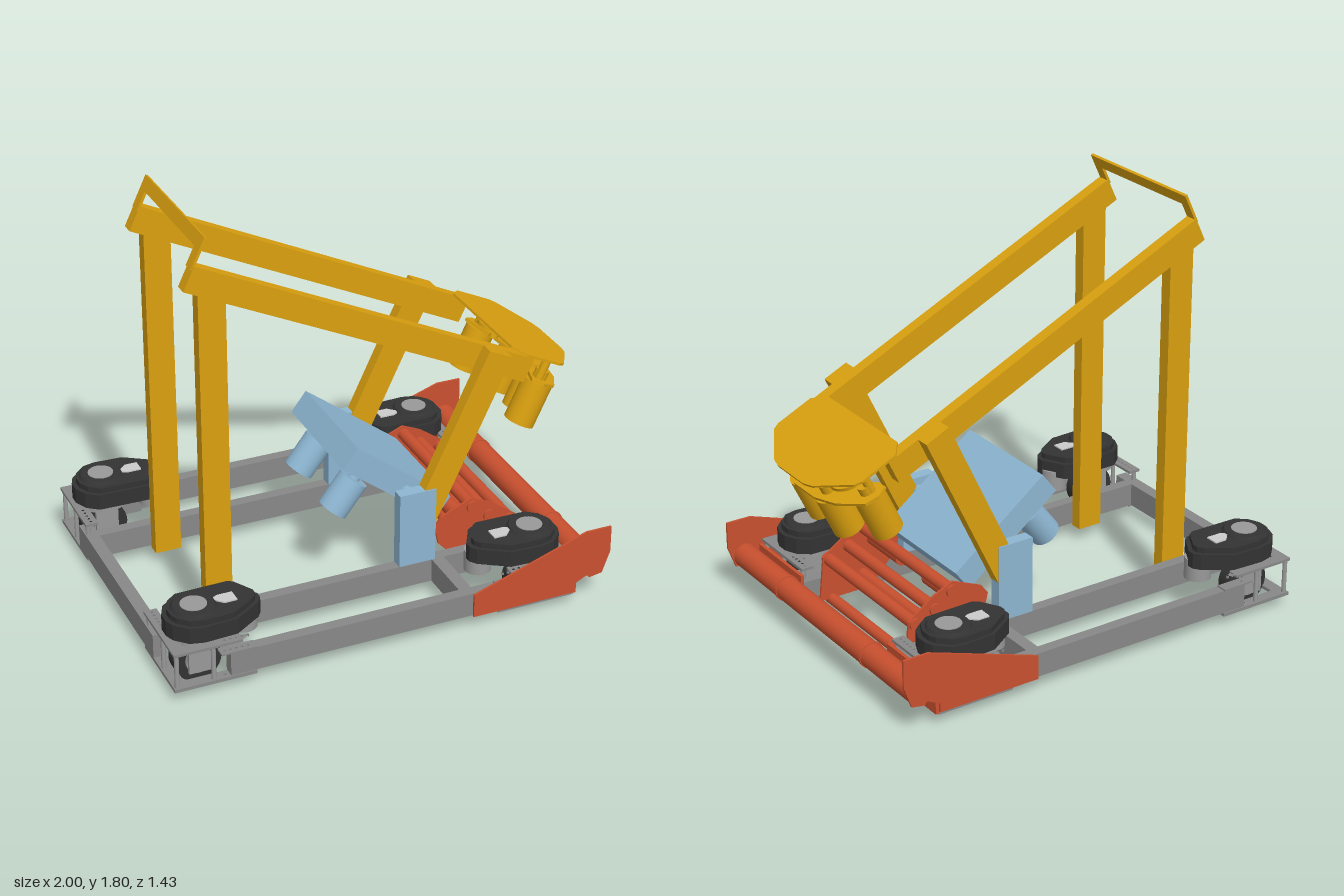
import * as THREE from 'three';

const mat = (color) => new THREE.MeshStandardMaterial({ color });
const YELLOW = mat(0xd9a00f), RED = mat(0xc9502f), BLUE = mat(0x8db6d2);
const FRAME = mat(0x888888), BLACK = mat(0x333333), STEEL = mat(0x999999), LIGHT = mat(0xcccccc);

function add(parent, name, geometry, material) {
  const mesh = new THREE.Mesh(geometry, material);
  mesh.name = name;
  parent.add(mesh);
  return mesh;
}

// box given by its minimum and maximum on each axis (in any order)
function box(parent, name, material, [x0, x1], [y0, y1], [z0, z1]) {
  const g = new THREE.BoxGeometry(Math.abs(x1 - x0), Math.abs(y1 - y0), Math.abs(z1 - z0));
  g.translate((x0 + x1) / 2, (y0 + y1) / 2, (z0 + z1) / 2);
  return add(parent, name, g, material);
}

// upright cylinder between two heights
function post(parent, name, material, x, z, r, y0, y1, rTop = r, sides = 28) {
  const g = new THREE.CylinderGeometry(rTop, r, y1 - y0, sides);
  g.translate(x, (y0 + y1) / 2, z);
  return add(parent, name, g, material);
}

// cylinder lying along z
function roller(parent, name, material, x, y, r, z0, z1) {
  const g = new THREE.CylinderGeometry(r, r, Math.abs(z1 - z0), 28).rotateX(Math.PI / 2);
  g.translate(x, y, (z0 + z1) / 2);
  return add(parent, name, g, material);
}

// horizontal plate from [x, z] corners, with optional round holes [x, z, r]
function slab(parent, name, material, pts, y0, y1, holes = []) {
  const shape = new THREE.Shape(pts.map(([x, z]) => new THREE.Vector2(x, -z)));
  for (const [x, z, r] of holes) {
    const hole = new THREE.Path();
    hole.absarc(x, -z, r, 0, Math.PI * 2, true);
    shape.holes.push(hole);
  }
  const g = new THREE.ExtrudeGeometry(shape, { depth: y1 - y0, bevelEnabled: false, curveSegments: 4 });
  g.rotateX(-Math.PI / 2).translate(0, y0, 0);
  return add(parent, name, g, material);
}

// upright plate from [x, y] corners
function panel(parent, name, material, pts, z0, z1) {
  const shape = new THREE.Shape(pts.map(([x, y]) => new THREE.Vector2(x, y)));
  const g = new THREE.ExtrudeGeometry(shape, { depth: z1 - z0, bevelEnabled: false });
  g.translate(0, 0, z0);
  return add(parent, name, g, material);
}

function group(parent, name) {
  const g = new THREE.Group();
  g.name = name;
  parent.add(g);
  return g;
}

// steerable corner wheel; s points inward along x, t is the side in z
function driveModule(parent, s, t) {
  const m = group(parent, 'driveModule');
  const X = (a) => -0.115 - s * 0.745 + s * a, Z = (b) => t * (0.56 - b);
  const at = (pts, k = 1) => pts.map(([a, b]) => [X(0.07 + (a - 0.07) * k), Z(b * k)]);

  // drilled corner brackets, below and above the wheel
  const corner = (reach) => at([[-0.14, -0.145], [reach, -0.145], [reach, -0.095], [-0.085, -0.095], [-0.085, 0.2], [-0.14, 0.2]]);
  const holes = [];
  for (let i = 0; i < 5; i++) {
    holes.push([X(0.08 + i * 0.025), Z(-0.12), 0.006], [X(-0.112), Z(0.08 + i * 0.025), 0.006]);
  }
  slab(m, 'lowerBracket', FRAME, corner(0.21), 0.045, 0.06, holes);
  slab(m, 'rail bracket', FRAME, at([[0.06, -0.145], [0.21, -0.145], [0.21, -0.095], [0.06, -0.095]]), 0.165, 0.172, holes.filter((h, i) => i % 2 === 0));
  slab(m, 'upperBracket', FRAME, corner(0.15), 0.21, 0.222, holes);
  for (const [a, b] of [[-0.125, -0.13], [0.03, -0.13], [-0.125, 0.02], [-0.125, 0.18]]) {
    post(m, 'bracketPost', STEEL, X(a), Z(b), 0.01, 0.05, 0.215, 0.01, 12);
  }

  // wheel in its fork under the turntable
  roller(m, 'wheel', BLACK, X(0), 0.1, 0.1, Z(-0.035), Z(0.035));
  roller(m, 'wheelHub', STEEL, X(0), 0.1, 0.055, Z(-0.05), Z(0.05));
  for (const b of [-0.06, 0.06]) box(m, 'forkSide', STEEL, [X(-0.05), X(0.05)], [0.06, 0.215], [Z(b - 0.008), Z(b + 0.008)]);
  post(m, 'turntable', STEEL, X(0), Z(0), 0.11, 0.205, 0.235);
  post(m, 'driveMotor', STEEL, X(0.22), Z(0.03), 0.058, 0.165, 0.26);

  // black gearbox cover, stepped in towards the top
  const outline = [[-0.125, 0.03], [-0.1, 0.085], [-0.05, 0.125], [0.2, 0.13], [0.225, 0.115], [0.28, 0.02],
    [0.28, -0.01], [0.26, -0.04], [0.14, -0.118], [0, -0.125], [-0.06, -0.11], [-0.11, -0.06], [-0.125, -0.02]];
  slab(m, 'coverBase', BLACK, at(outline), 0.235, 0.305);
  slab(m, 'coverTop', BLACK, at(outline, 0.9), 0.305, 0.33);
  post(m, 'coverDome', BLACK, X(0), Z(0), 0.095, 0.33, 0.342, 0.085);
  post(m, 'motorCap', STEEL, X(0), Z(0), 0.055, 0.342, 0.345);
  slab(m, 'coverWindow', LIGHT, at([[0.09, 0.0], [0.12, -0.03], [0.175, -0.03], [0.175, 0.03], [0.11, 0.03], [0.09, 0.02]]), 0.33, 0.336);
}

export function createModel() {
  const model = new THREE.Group();
  model.name = 'wheeledRobot';

  // chassis rails and corner wheels
  const chassis = group(model, 'chassis');
  const RAIL = [0.06, 0.165];
  box(chassis, 'rearBeam', FRAME, [-1, -0.945], RAIL, [-0.46, 0.46]);
  for (const t of [-1, 1]) {
    box(chassis, 'innerRail', FRAME, [-0.945, 0.77], RAIL, [t * 0.345, t * 0.395]);
    box(chassis, 'outerRail', FRAME, [-0.76, 0.53], RAIL, [t * 0.65, t * 0.7]);
    box(chassis, 'crossRail', FRAME, [0.265, 0.32], RAIL, [t * 0.395, t * 0.65]);
    box(chassis, 'frontBeam', FRAME, [0.72, 0.768], RAIL, [t * 0.395, t * 0.46]);
    for (const s of [-1, 1]) driveModule(chassis, s, t);
  }

  // tall posts
  for (const t of [-1, 1]) box(model, 'tallPost', YELLOW, [-0.72, -0.605], [0.06, 1.6], [t * 0.275, t * 0.33]);

  // sloping arm, built along its own top edge
  const arm = group(model, 'slopingArm');
  arm.position.set(-0.73, 1.685, 0);
  arm.rotation.z = -0.445;
  for (const t of [-1, 1]) {
    box(arm, 'armBeam', YELLOW, [0, 1.64], [-0.11, 0], [t * 0.275, t * 0.33]);
    box(arm, 'armStrut', YELLOW, [1.375, 1.49], [-0.785, 0], [t * 0.335, t * 0.391]);
    box(arm, 'strutJoint', YELLOW, [1.375, 1.49], [-0.11, 0], [t * 0.33, t * 0.336]);
    box(arm, 'rearBracketSide', YELLOW, [-0.006, 0.006], [-0.02, 0.07], [t * 0.275, t * 0.325]);
  }
  box(arm, 'rearBracketTop', YELLOW, [-0.006, 0.006], [0.065, 0.12], [-0.325, 0.325]);

  // shooter head: top plate, pulleys, lower plate and four motors
  slab(arm, 'headTopPlate', YELLOW, [[1.55, -0.27], [1.6, -0.33], [1.77, -0.33], [1.8, -0.315], [1.905, -0.15], [1.917, -0.1],
    [1.917, 0.1], [1.905, 0.15], [1.8, 0.315], [1.77, 0.33], [1.6, 0.33], [1.55, 0.27]], 0, 0.01);
  slab(arm, 'headLowerPlate', YELLOW, [[1.69, -0.31], [1.74, -0.335], [1.8, -0.32], [1.87, -0.2], [1.9, -0.08], [1.9, 0.08],
    [1.87, 0.2], [1.8, 0.32], [1.74, 0.335], [1.69, 0.31], [1.75, 0.15], [1.77, 0], [1.75, -0.15]], -0.105, -0.092);
  for (const t of [-1, 1]) {
    for (const [u, z] of [[1.752, 0.265], [1.838, 0.098]]) {
      post(arm, 'headMotor', YELLOW, u, t * z, 0.066, -0.3, -0.105);
      post(arm, 'motorPulley', YELLOW, u, t * z, 0.03, -0.092, -0.055);
    }
    post(arm, 'pulleyShaft', YELLOW, 1.75, t * 0.15, 0.02, -0.1, 0);
    post(arm, 'largePulley', YELLOW, 1.75, t * 0.15, 0.09, -0.065, -0.05);
    post(arm, 'smallPulley', YELLOW, 1.75, t * 0.15, 0.055, -0.035, -0.022);
    post(arm, 'sideShaft', YELLOW, 1.74, t * 0.28, 0.018, -0.1, 0);
  }

  // tilted feeder box on its pivot
  const feeder = group(model, 'feeder');
  feeder.position.set(-0.02, 0.7, 0);
  feeder.rotation.z = -0.655;
  box(feeder, 'feederBox', BLUE, [0, 0.54], [-0.11, 0], [-0.272, 0.272]);
  for (const t of [-1, 1]) {
    post(feeder, 'feederMotor', BLUE, 0.135, t * 0.18, 0.066, -0.3, -0.14);
    post(feeder, 'feederShaft', BLUE, 0.135, t * 0.18, 0.025, -0.14, -0.1);
    box(model, 'pivotPost', BLUE, [0.115, 0.28], [0.165, 0.505], [t * 0.342, t * 0.396]);
  }
  roller(model, 'feederPivot', BLUE, 0.2, 0.445, 0.027, -0.345, 0.345);

  // front intake: side plates, bumper, tube and rollers
  const intake = group(model, 'intake');
  for (const t of [-1, 1]) {
    const zo = t * 0.71, zi = t * 0.339;
    panel(intake, 'outerPlate', RED, [[0.305, 0.06], [0.305, 0.165], [0.82, 0.34], [0.935, 0.34], [0.935, 0.22],
      [0.9, 0.125], [0.84, 0.115], [0.83, 0.13], [0.77, 0.1], [0.77, 0.06]], zo - 0.005, zo + 0.005);
    panel(intake, 'innerPlate', RED, [[0.32, 0.2], [0.3, 0.285], [0.33, 0.325], [0.47, 0.385], [0.56, 0.345],
      [0.68, 0.26], [0.7, 0.06], [0.45, 0.06]], zi - 0.005, zi + 0.005);
    box(intake, 'bumperPanel', RED, [0.77, 0.785], [0.05, 0.2], [t * 0.345, t * 0.705]);
    roller(intake, 'tubeCollar', RED, 0.855, 0.168, 0.057, t * 0.335, t * 0.345);
    roller(intake, 'shortRoller', RED, 0.43, 0.29, 0.035, t * 0.1, t * 0.335);
  }
  roller(intake, 'frontTube', RED, 0.855, 0.168, 0.053, -0.705, 0.705);
  for (const [x, y, r] of [[0.475, 0.345, 0.027], [0.555, 0.285, 0.027], [0.65, 0.245, 0.027], [0.64, 0.055, 0.025], [0.49, 0.13, 0.027]]) {
    roller(intake, 'intakeRoller', RED, x, y, r, -0.355, 0.355);
  }

  return model;
}
